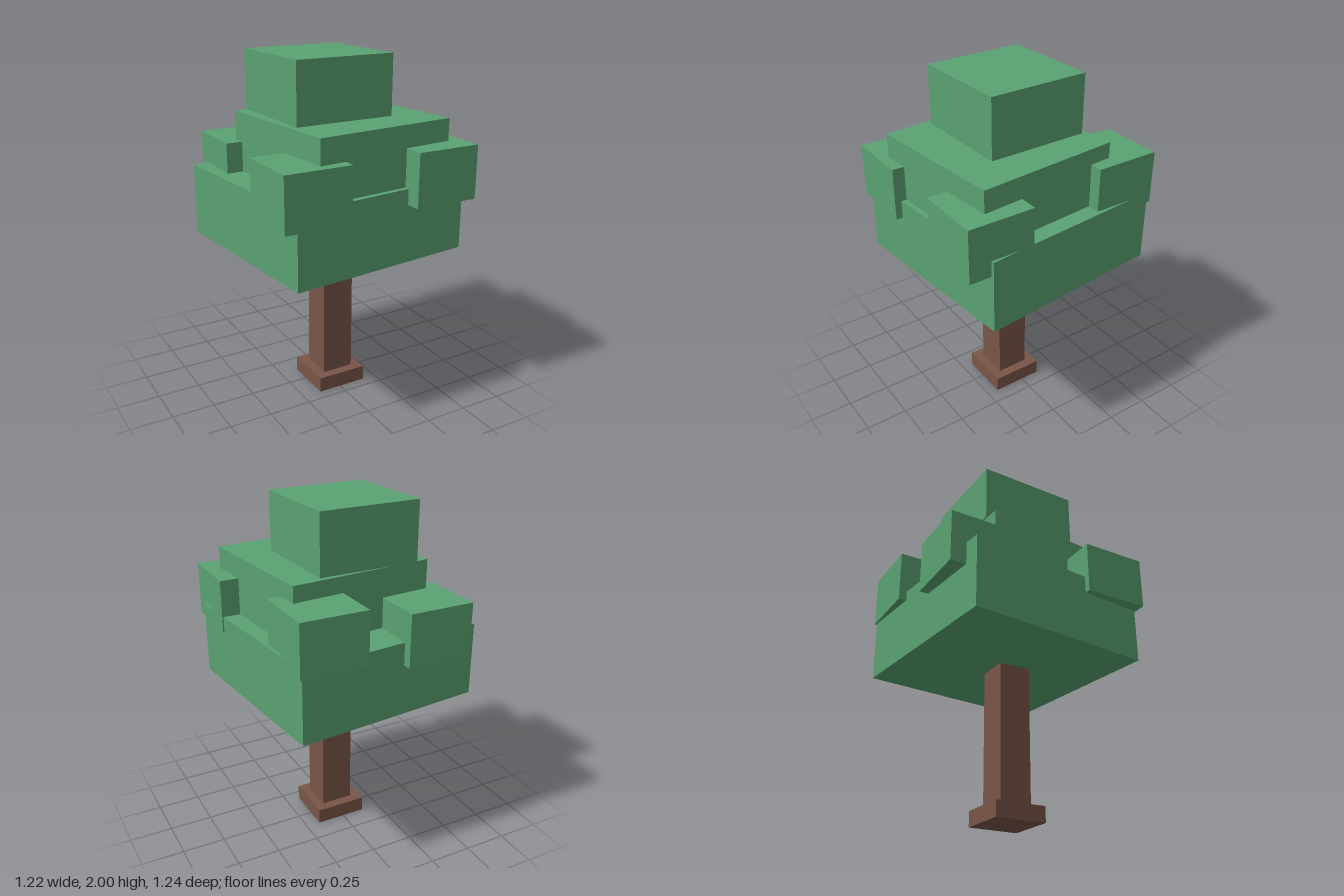
import * as THREE from 'three';

export function createModel() {
  const tree = new THREE.Group();
  tree.name = 'tree';

  const bark = new THREE.MeshStandardMaterial({ color: 0x795548 });
  bark.name = 'bark brown';
  const leaf = new THREE.MeshStandardMaterial({ color: 0x5aa272 });
  leaf.name = 'leaf green';

  // Square block standing on y0, turned about its own vertical axis
  function block(name, material, size, x, z, y0, y1, turn = 0) {
    const mesh = new THREE.Mesh(new THREE.BoxGeometry(size, y1 - y0, size), material);
    mesh.name = name;
    mesh.position.set(x, (y0 + y1) / 2, z);
    mesh.rotation.y = turn;
    tree.add(mesh);
  }

  // Trunk with a wider foot
  block('trunkBase', bark, 0.303, 0.014, 0.033, 0, 0.09);
  block('trunk', bark, 0.19, 0.015, 0.034, 0.09, 0.9);

  // Three stacked canopy tiers, each slightly twisted
  block('lowerCanopy', leaf, 1.11, -0.001, -0.005, 0.9, 1.32, 0.1);
  block('middleCanopy', leaf, 0.848, 0.041, 0.092, 1.32, 1.66, 0.095);
  block('topCanopy', leaf, 0.593, -0.04, -0.018, 1.66, 2, 0.024);

  // Leaf clumps on the four corners: name, x, z, bottom
  const clumps = [
    ['frontRightClump', -0.379, 0.419, 1.217],
    ['frontLeftClump', 0.398, 0.429, 1.23],
    ['backRightClump', -0.319, -0.412, 1.19],
    ['backLeftClump', 0.318, -0.431, 1.265],
  ];
  for (const [name, x, z, y] of clumps) block(name, leaf, 0.382, x, z, y, y + 0.304);

  return tree;
}
